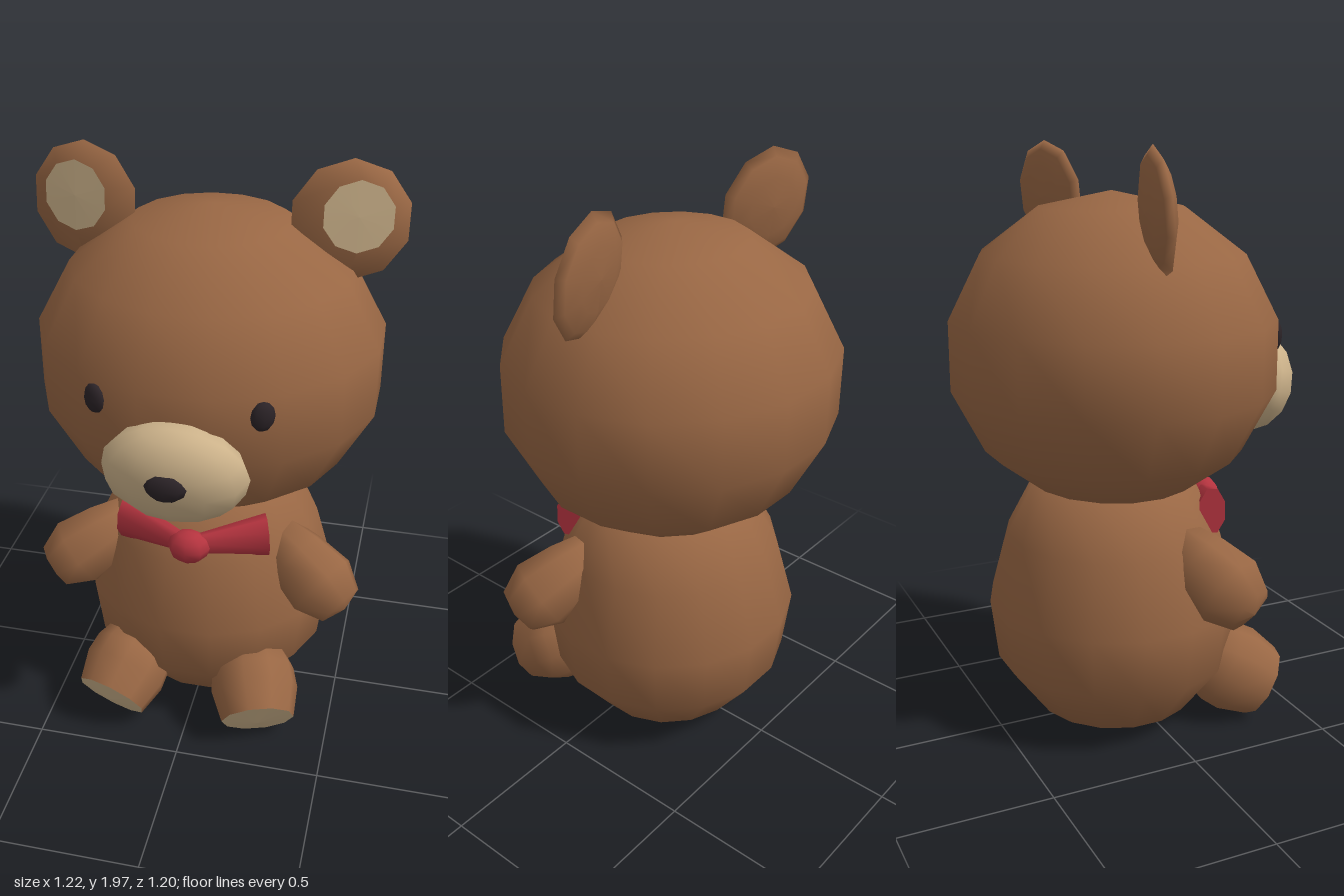
import * as THREE from 'three';

const material = (name, color) => {
  const m = new THREE.MeshStandardMaterial({ color });
  m.name = name;
  return m;
};

export function createModel() {
  const bear = new THREE.Group();
  bear.name = 'teddyBear';
  const fur = material('brownFur', 0x996744);
  const cream = material('creamFelt', 0xccb28a);
  const black = material('blackButton', 0x2b2327);
  const red = material('redRibbon', 0xb5343f);

  const add = (name, geometry, mat, pos = [0, 0, 0], rot = [0, 0, 0]) => {
    const mesh = new THREE.Mesh(geometry, mat);
    mesh.name = name;
    mesh.position.set(...pos);
    mesh.rotation.set(...rot);
    bear.add(mesh);
    return mesh;
  };
  const lathe = (points, sides, start = 0) =>
    new THREE.LatheGeometry(points.map(p => new THREE.Vector2(...p)), sides, start);
  const ball = (rx, ry, rz, sides, rings, start = 0) =>
    new THREE.SphereGeometry(1, sides, rings, start).scale(rx, ry, rz);
  // turned part whose profile runs from one point towards another
  const limb = (name, points, mat, from, to, sides) => {
    const a = new THREE.Vector3(...from);
    const dir = new THREE.Vector3(...to).sub(a).normalize();
    const mesh = add(name, lathe(points, sides), mat, from);
    mesh.quaternion.setFromUnitVectors(new THREE.Vector3(0, 1, 0), dir);
  };

  // body and head
  const half = Math.PI / 16;
  const torso = lathe([[0, 0.03], [0.275, 0.07], [0.41, 0.25], [0.435, 0.46],
    [0.37, 0.7], [0.275, 0.88], [0, 0.97]], 16, half).scale(1.04, 1, 1);
  add('body', torso, fur, [0, 0, -0.07]);
  add('head', ball(0.59, 0.525, 0.555, 16, 7, half), fur, [0, 1.325, -0.07]);

  // face
  add('muzzle', ball(0.235, 0.185, 0.13, 12, 8), cream, [0, 1.178, 0.45], [0.27, 0, 0]);
  add('nose', ball(0.066, 0.047, 0.027, 8, 6), black, [0, 1.195, 0.573]);

  // bow knot
  add('bowKnot', ball(0.073, 0.06, 0.055, 8, 6), red, [0, 0.775, 0.285]);

  // ear, with its front pushed outwards and up so the patch sits off centre
  const earPart = (points, s) => {
    const g = lathe(points, 10).rotateX(Math.PI / 2);
    const p = g.attributes.position;
    for (let i = 0; i < p.count; i++) {
      if (p.getZ(i) > 0.02) p.setXY(i, p.getX(i) + s * 0.022, p.getY(i) + 0.018);
    }
    g.computeVertexNormals();
    return g;
  };

  for (const s of [1, -1]) {
    const side = s > 0 ? 'left' : 'right';

    const earPos = [s * 0.43, 1.808, -0.122], earRot = [-0.1, s * 0.22, 0];
    add(side + 'Ear', earPart([[0, -0.035], [0.1, -0.03], [0.165, -0.012],
      [0.194, 0.008], [0.115, 0.032]], s), fur, earPos, earRot);
    add(side + 'InnerEar', earPart([[0.115, 0.032], [0, 0.035]], s), cream, earPos, earRot);

    add(side + 'Eye', ball(0.039, 0.05, 0.022, 8, 6), black,
      [s * 0.26, 1.38, 0.408], [0, s * 0.45, 0]);

    // arm with rounded paw
    limb(side + 'Arm', [[0, -0.02], [0.08, 0], [0.112, 0.12], [0.13, 0.25],
      [0.085, 0.345], [0, 0.365]], fur,
    [s * 0.25, 0.71, 0.05], [s * 0.52, 0.53, 0.19], 8);

    // leg and sole
    const hip = [s * 0.19, 0.28, 0.14], toe = [s * 0.27, 0.13, 0.39];
    limb(side + 'Leg', [[0, -0.02], [0.1, 0], [0.148, 0.12], [0.154, 0.19],
      [0.128, 0.295]], fur, hip, toe, 10);
    limb(side + 'Sole', [[0.128, 0.295], [0, 0.31]], cream, hip, toe, 10);

    // bow wing, flaring outwards around the neck
    const wing = new THREE.CylinderGeometry(0.078, 0.038, 0.235, 8, 1, false, Math.PI / 8)
      .rotateZ(-s * Math.PI / 2).scale(1, 1.05, 0.6);
    add(side + 'BowWing', wing, red, [s * 0.14, 0.786, 0.228], [0, s * 0.36, s * 0.07]);
  }
  return bear;
}
